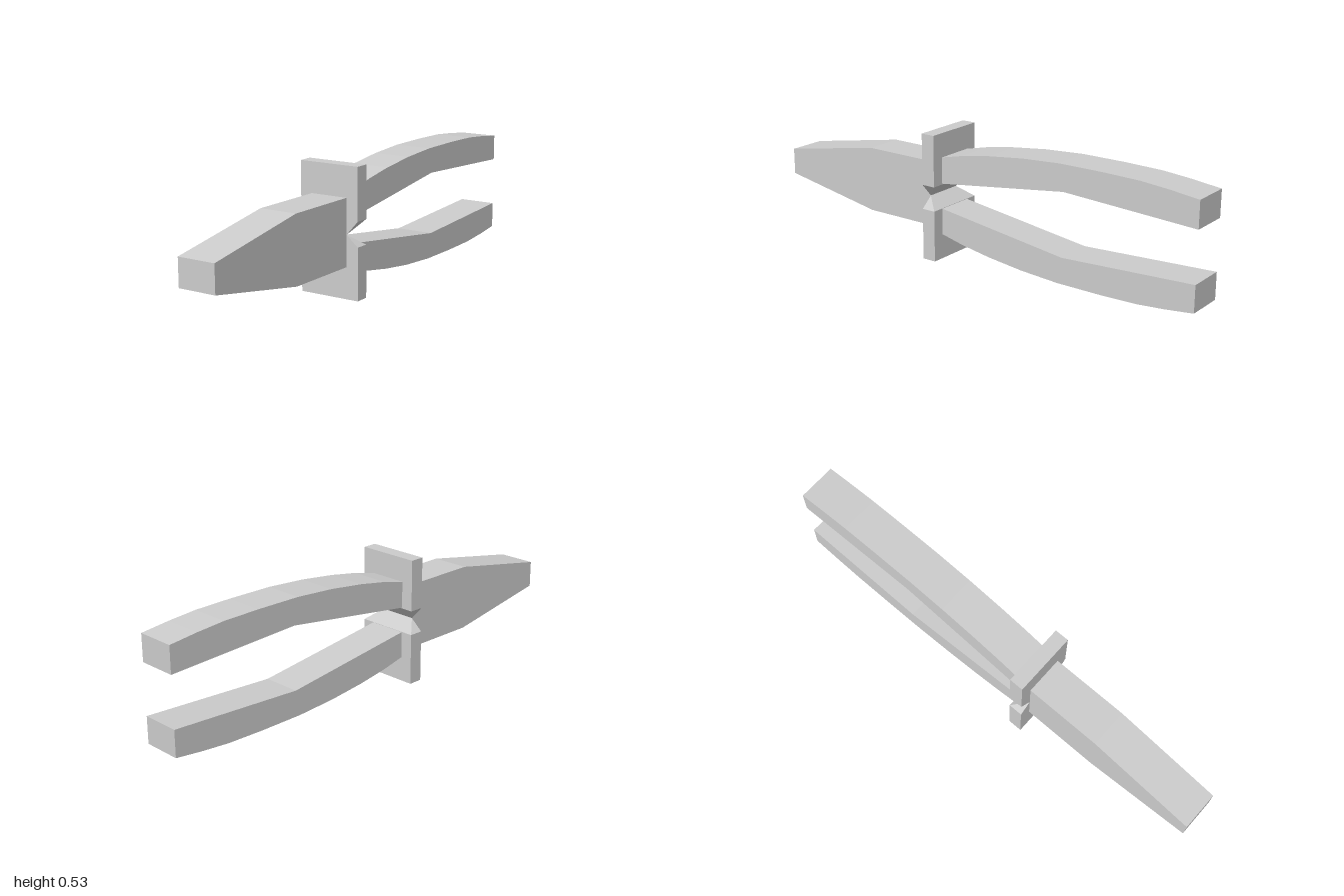
import * as THREE from 'three';
import { ConvexGeometry } from 'three/addons/geometries/ConvexGeometry.js';

const WIDTH = 0.162;
const MIRROR_SUM = 0.534; // y of an upper point plus y of its lower twin
const material = new THREE.MeshStandardMaterial({ color: 0xcccccc, flatShading: true });

// Extrudes a side outline of [z, y] points across x
function slab(name, outline) {
  const shape = new THREE.Shape(outline.map(([z, y]) => new THREE.Vector2(z, y)));
  const geometry = new THREE.ExtrudeGeometry(shape, { depth: WIDTH, bevelEnabled: false });
  geometry.translate(0, 0, -WIDTH / 2).rotateY(-Math.PI / 2);
  const mesh = new THREE.Mesh(geometry, material);
  mesh.name = name;
  return mesh;
}

// Guard plate whose inner end slopes to a narrow edge at the pivot
function guard(name, outerY, innerY) {
  const points = [];
  for (const side of [-1, 1]) {
    for (const y of [outerY, innerY]) {
      for (const z of [0.155, 0.215]) points.push(new THREE.Vector3(side * 0.133, y, z));
    }
    points.push(new THREE.Vector3(side * 0.081, 0.259, 0.215));
  }
  const mesh = new THREE.Mesh(new ConvexGeometry(points), material);
  mesh.name = name;
  return mesh;
}

export function createModel() {
  const model = new THREE.Group();
  model.name = 'pliers';

  // Closed tapering jaws
  model.add(slab('jaws', [
    [1, 0.21], [1, 0.322], [0.54, 0.405], [0.215, 0.405], [0.215, 0.13], [0.54, 0.13],
  ]));

  // Guard plates, meeting at the pivot
  model.add(guard('upperGuard', 0.531, 0.317), guard('lowerGuard', 0, 0.215));

  // Bowed handles, the lower one mirrored
  const handle = [
    [0.157, 0.32], [0.157, 0.43], [0.05, 0.455], [-0.08, 0.477], [-0.24, 0.496],
    [-0.41, 0.507], [-0.6, 0.508], [-0.76, 0.505], [-0.88, 0.495], [-1, 0.481],
    [-1, 0.371], [-0.43, 0.399],
  ];
  model.add(slab('upperHandle', handle));
  model.add(slab('lowerHandle', handle.map(([z, y]) => [z, MIRROR_SUM - y])));

  return model;
}
